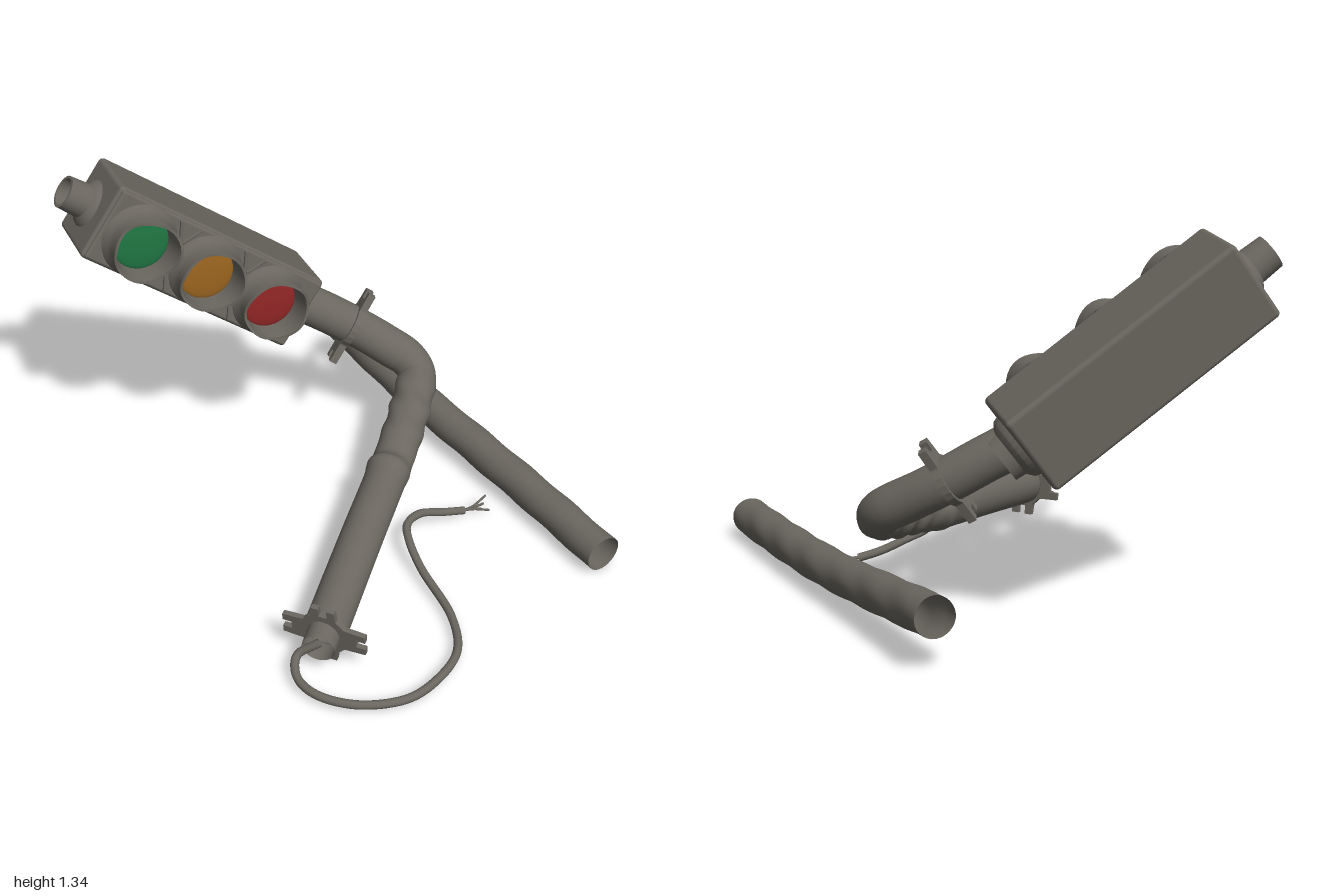
import * as THREE from 'three';
import { mergeVertices, toCreasedNormals } from 'three/addons/utils/BufferGeometryUtils.js';
import { RoundedBoxGeometry } from 'three/addons/geometries/RoundedBoxGeometry.js';

const V = (x, y, z) => new THREE.Vector3(x, y, z);
const mat = (name, color) => {
  const m = new THREE.MeshStandardMaterial({ color, side: THREE.DoubleSide });
  m.name = name;
  return m;
};
const mesh = (name, geo, material, parent) => {
  const m = new THREE.Mesh(geo, material);
  m.name = name;
  parent.add(m);
  return m;
};
const bump = (t, c, w) => Math.exp(-(((t - c) / w) ** 2));

// Open pipe along a smooth path; swell(t, normal, point) pushes the skin in or out
function pipe(points, radius, segs, sides, swell) {
  const curve = new THREE.CatmullRomCurve3(points.map((p) => V(...p)), false, 'centripetal');
  const geo = new THREE.TubeGeometry(curve, segs, radius, sides);
  if (!swell) return geo;
  const pos = geo.attributes.position, nor = geo.attributes.normal;
  const p = V(), n = V();
  for (let i = 0; i < pos.count; i++) {
    p.fromBufferAttribute(pos, i);
    n.fromBufferAttribute(nor, i);
    p.addScaledVector(n, swell(Math.floor(i / (sides + 1)) / segs, n, p));
    pos.setXYZ(i, p.x, p.y, p.z);
  }
  geo.deleteAttribute('uv');
  geo.deleteAttribute('normal');
  const welded = mergeVertices(geo, 1e-5);
  welded.computeVertexNormals();
  return welded;
}

// Flat plate with notched lugs; lugs lists [angle, reach]
function lugPlate(lugs, thick) {
  const s = new THREE.Shape();
  const base = 0.092, half = 0.045, slot = 0.016, deep = 0.035;
  const pts = [];
  lugs.forEach(([a, r], i) => {
    const put = (x, y) => pts.push(new THREE.Vector2(x, y).rotateAround(new THREE.Vector2(), a));
    put(base * 0.88, -half * 1.1);
    put(r, -half); put(r, -slot); put(r - deep, -slot);
    put(r - deep, slot); put(r, slot); put(r, half);
    put(base * 0.88, half * 1.1);
    // rounded body up to the next lug
    const next = i + 1 < lugs.length ? lugs[i + 1][0] : lugs[0][0] + Math.PI * 2;
    const from = a + 0.6, to = next - 0.6;
    for (let k = 0; k <= 6; k++) {
      const b = from + ((to - from) * k) / 6;
      pts.push(new THREE.Vector2(Math.cos(b) * base, Math.sin(b) * base));
    }
  });
  s.setFromPoints(pts);
  const hole = new THREE.Path();
  hole.absarc(0, 0, 0.058, 0, Math.PI * 2, true);
  s.holes.push(hole);
  const g = new THREE.ExtrudeGeometry(s, { depth: thick, bevelEnabled: false, curveSegments: 24 });
  return g.translate(0, 0, -thick / 2);
}

// Place an object with its z axis along normal and x axis near side
function orient(obj, at, normal, side) {
  const z = normal.clone().normalize();
  const x = side.clone().addScaledVector(z, -side.dot(z)).normalize();
  obj.quaternion.setFromRotationMatrix(new THREE.Matrix4().makeBasis(x, z.clone().cross(x), z));
  obj.position.copy(at);
}

export function createModel() {
  const root = new THREE.Group();
  root.name = 'brokenTrafficLight';
  const metal = mat('weatheredMetal', 0x6b6760);
  const lenses = [mat('greenLens', 0x1f7442), mat('amberLens', 0x99631f), mat('redLens', 0x8f2525)];

  // Signal head: local x runs along the row of lamps, z faces forward
  const head = new THREE.Group();
  head.name = 'signalHead';
  orient(head, V(-0.305, 0.94, -0.71), V(-0.08, 0.08, 0.994), V(0.791, -0.599, 0.125));
  root.add(head);
  mesh('housing', new RoundedBoxGeometry(0.96, 0.31, 0.3, 3, 0.018), metal, head);
  mesh('frontPanel', new RoundedBoxGeometry(0.94, 0.295, 0.03, 2, 0.012), metal, head).position.z = 0.148;

  // Lamps with flared collars and crumpled visors
  const profile = [[0.15, 0.15], [0.142, 0.172], [0.13, 0.185], [0.124, 0.225], [0.127, 0.272],
    [0.117, 0.272], [0.112, 0.225], [0.108, 0.166]].map((p) => new THREE.Vector2(...p));
  ['green', 'amber', 'red'].forEach((name, i) => {
    const lamp = new THREE.Group();
    lamp.name = name + 'Lamp';
    lamp.position.x = (i - 1) * 0.302 - 0.012;
    head.add(lamp);
    const visor = new THREE.LatheGeometry(profile, 36).rotateX(Math.PI / 2);
    const pos = visor.attributes.position;
    for (let k = 0; k < pos.count; k++) {
      const x = pos.getX(k), y = pos.getY(k), z = pos.getZ(k);
      const out = Math.max(0, z - 0.185), a = Math.atan2(y, x);
      const squeeze = 1 + out * 0.25 * Math.sin(3 * a + i * 2);
      const reach = 1 + 0.22 * Math.sin(a + 0.3) + 0.07 * Math.sin(4 * a + i);
      pos.setXYZ(k, x * squeeze, y * squeeze, z - out + out * reach);
    }
    mesh('visor', toCreasedNormals(visor, 0.7), metal, lamp);
    const lens = new THREE.SphereGeometry(0.11, 32, 6, 0, Math.PI * 2, 0, Math.PI / 2);
    lens.rotateX(Math.PI / 2).scale(1, 1, 0.12);
    mesh('lens', lens, lenses[i], lamp).position.z = 0.17;
  });

  // Ridges crossing the panel between the lamps
  for (const x of [-0.163, 0.139])
    for (const tilt of [-0.5, 0.5])
      for (const y of [-0.1, 0.1]) {
        const ridge = mesh('panelRidge', new RoundedBoxGeometry(0.012, 0.09, 0.02, 1, 0.004), metal, head);
        ridge.position.set(x + tilt * 0.05, y, 0.163);
        ridge.rotation.z = y > 0 ? -tilt : tilt;
      }

  // Pipe stub on one end, neck collar on the other
  const ring = (pts) => toCreasedNormals(
    new THREE.LatheGeometry(pts.map((p) => new THREE.Vector2(...p)), 28).rotateZ(-Math.PI / 2), 0.6);
  const stub = mesh('endStub', ring([[0.1, 0.47], [0.088, 0.49], [0.067, 0.505], [0.063, 0.59],
    [0.053, 0.59], [0.053, 0.49], [0, 0.49]]), metal, head);
  stub.rotation.y = Math.PI;
  stub.position.z = -0.025;
  mesh('neckCollar', ring([[0.125, 0.47], [0.115, 0.5], [0.09, 0.52], [0.085, 0.56], [0.07, 0.56]]), metal, head);

  // Bent mast: crushed at the elbow, dented halfway, narrower past the flange
  mesh('bentMast', pipe([
    [0.07, 0.665, -0.65], [0.18, 0.6, -0.605], [0.3, 0.52, -0.545], [0.4, 0.45, -0.47],
    [0.468, 0.395, -0.4], [0.478, 0.352, -0.335], [0.42, 0.322, -0.25], [0.3, 0.285, -0.11],
    [0.15, 0.245, 0.045], [-0.1, 0.2, 0.3], [-0.4, 0.142, 0.61], [-0.475, 0.13, 0.69],
  ], 0.081, 150, 28, (t, n, p) => {
    if (t > 0.955) return -0.02;
    const up = Math.max(0, n.y);
    let d = -0.028 * bump(t, 0.525, 0.025) * up + 0.012 * bump(t, 0.56, 0.015) * (0.4 + up);
    d -= 0.012 * bump(t, 0.285, 0.03) * Math.max(0, -n.x);
    d += 0.005 * bump(t, 0.4, 0.08) * Math.sin(p.x * 60 + p.y * 45);
    d -= 0.008 * bump(t, 0.18, 0.04) * Math.max(0, n.z);
    return d;
  }), metal, root);

  // Mounting clamp on the upper mast and flange at the mast foot
  const clamp = mesh('mastClamp', lugPlate([[0, 0.155], [Math.PI, 0.165]], 0.03), metal, root);
  orient(clamp, V(0.295, 0.523, -0.548), V(0.75, -0.51, 0.43), V(0.605, 0.796, -0.015));
  const flange = mesh('footFlange',
    lugPlate([[0, 0.16], [Math.PI / 2, 0.123], [Math.PI, 0.16], [Math.PI * 1.5, 0.123]], 0.02), metal, root);
  orient(flange, V(-0.42, 0.135, 0.632), V(-0.77, -0.1, 0.63), V(0.6, 0, 0.8));

  // Loose pole section lying on the ground
  mesh('fallenPole', pipe([
    [0.728, 0.088, 0.69], [0.68, 0.1, 0.3], [0.62, 0.115, -0.1], [0.55, 0.145, -0.5], [0.478, 0.2, -0.985],
  ], 0.073, 60, 28, (t, n) => 0.002 * Math.sin(t * 40 + n.y * 3) - 0.004 * bump(t, 0.6, 0.05) * Math.max(0, n.y)),
  metal, root);

  // Supply cable spilling out of the mast foot, with frayed ends
  mesh('cable', pipe([
    [-0.46, 0.135, 0.67], [-0.535, 0.08, 0.64], [-0.57, 0.055, 0.71], [-0.55, 0.05, 0.81], [-0.44, 0.045, 0.92],
    [-0.27, 0.045, 0.975], [-0.13, 0.045, 0.94], [0, 0.043, 0.85], [0.075, 0.04, 0.68], [0.09, 0.065, 0.42],
    [0.105, 0.1, 0.3], [0.14, 0.108, 0.22], [0.22, 0.098, 0.175], [0.33, 0.06, 0.17], [0.42, 0.038, 0.175],
  ], 0.016, 140, 10), metal, root);
  for (const [x, y, z] of [[0.53, 0.058, 0.155], [0.52, 0.024, 0.205], [0.51, 0.04, 0.175], [0.49, 0.03, 0.19]])
    mesh('frayedWire', pipe([[0.405, 0.042, 0.175], [0.46, 0.036, 0.175 + (z - 0.175) * 0.3], [x, y, z]],
      0.005, 8, 6), metal, root);

  return root;
}
